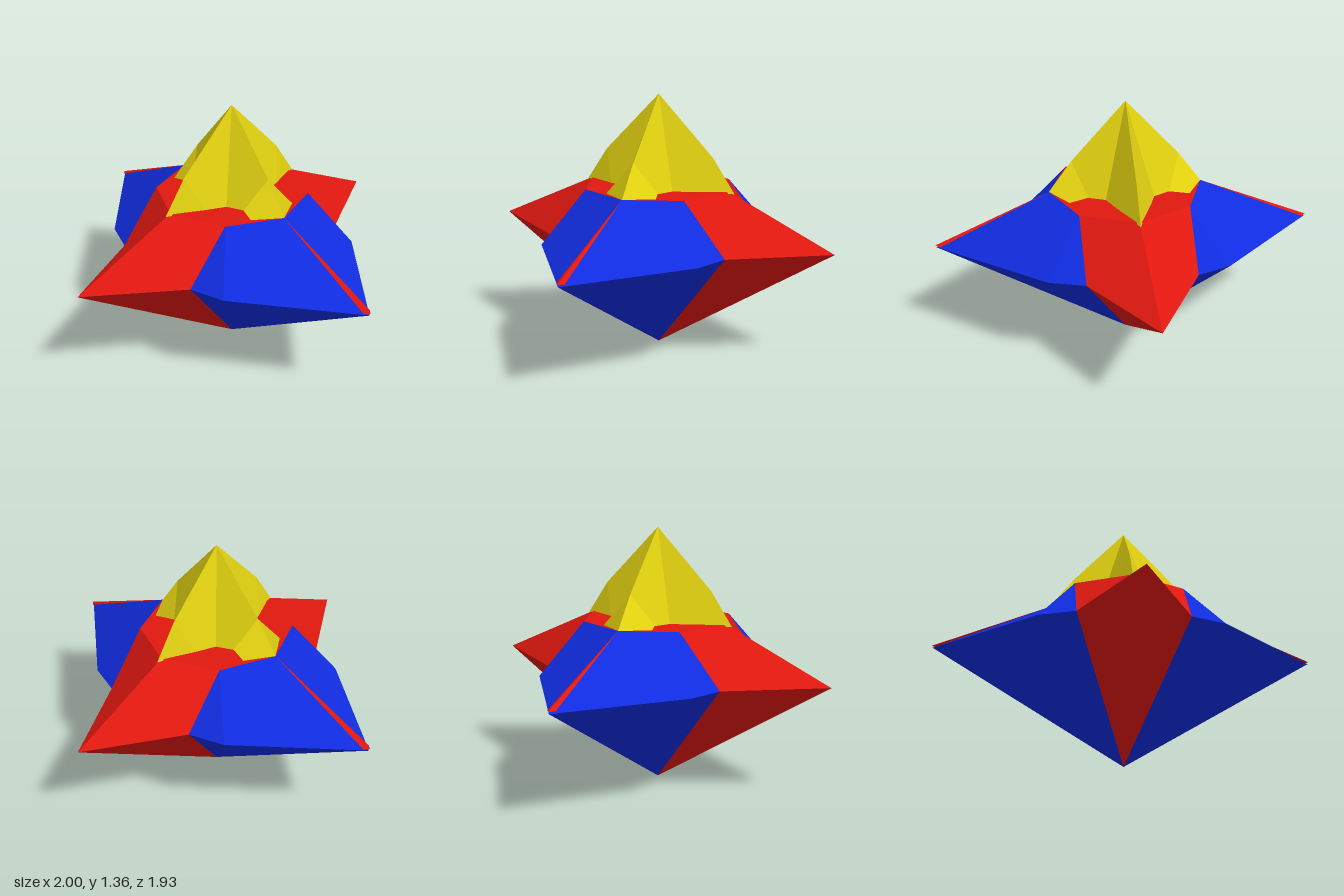
import * as THREE from 'three';

// Builds a four-way mirrored shell from polygons of one quarter (+x, +z).
// Each polygon is a fan from its first corner, with one shared normal, facing away from the centre.
function mirroredShell(name, color, polygons) {
  const centre = new THREE.Vector3(0, 0.75, 0);
  const positions = [], normals = [];
  for (const sx of [1, -1]) for (const sz of [1, -1]) {
    for (const polygon of polygons) {
      const p = polygon.map(([x, y, z]) => new THREE.Vector3(x * sx, y, z * sz));
      const normal = new THREE.Vector3(), middle = new THREE.Vector3();
      p.forEach(v => middle.addScaledVector(v, 1 / p.length));
      for (let i = 1; i < p.length - 1; i++) {
        normal.add(p[i].clone().sub(p[0]).cross(p[i + 1].clone().sub(p[0])));
      }
      if (normal.dot(middle.sub(centre)) < 0) {
        p.reverse();
        p.unshift(p.pop()); // keep the same fan corner
        normal.negate();
      }
      normal.normalize();
      for (let i = 1; i < p.length - 1; i++) {
        for (const v of [p[0], p[i], p[i + 1]]) {
          positions.push(v.x, v.y, v.z);
          normals.push(normal.x, normal.y, normal.z);
        }
      }
    }
  }
  const geometry = new THREE.BufferGeometry();
  geometry.setAttribute('position', new THREE.Float32BufferAttribute(positions, 3));
  geometry.setAttribute('normal', new THREE.Float32BufferAttribute(normals, 3));
  const material = new THREE.MeshStandardMaterial({ color, side: THREE.DoubleSide });
  const mesh = new THREE.Mesh(geometry, material);
  mesh.name = name;
  return mesh;
}

export function createModel() {
  const group = new THREE.Group();
  group.name = 'starShapedTop';
  const red = 0xe01810, blue = 0x102ce0, yellow = 0xe0d010;

  // Shared corners: bottom point, deck rim and inner corner between the arms
  const bottom = [0, 0, 0];
  const deckY = 0.88, rimY = 0.61;
  const deckFront = [0, deckY, 0.4], deckCorner = [0.28, deckY, 0.28], deckSide = [0.4, deckY, 0];
  const inner = [0.28, rimY, 0.5];

  // Front and back arms
  const frontTip = [0, 0.622, 0.965];
  group.add(mirroredShell('frontAndBackArms', red, [
    [deckFront, deckCorner, inner, frontTip].slice(0, 4),
    [bottom, inner, frontTip],
  ]));

  // Side arms, broader with a shoulder beside the front and back arms
  const sideTip = [0.995, rimY, 0], shoulder = [0.46, rimY, 0.44];
  group.add(mirroredShell('sideArms', blue, [
    [deckSide, deckCorner, shoulder, sideTip],
    [deckCorner, inner, shoulder],
    [bottom, inner, shoulder],
    [bottom, shoulder, sideTip],
  ]));

  // Thin ridge strips along the side arms
  group.add(mirroredShell('sideRidges', red, [
    [deckSide, [1, 0.622, 0], [0.975, 0.62, 0.022]],
  ]));

  // Deck under the crown
  group.add(mirroredShell('deck', red, [
    [[0, deckY, 0], deckFront, deckCorner, deckSide],
  ]));

  // Faceted crown with four legs
  const peak = [0, 1.355, 0], notch = [0.125, deckY, 0.14];
  const sideKnee = [0.28, 1.045, 0], sideWaist = [0.21, deckY, 0.1];
  const frontKnee = [0, 1.045, 0.31], frontWaist = [0.085, deckY, 0.24];
  group.add(mirroredShell('crown', yellow, [
    [peak, sideKnee, sideWaist, notch],
    [sideKnee, [0.4, deckY, 0], [0.31, deckY, 0.14], sideWaist],
    [peak, frontKnee, frontWaist, notch],
    [frontKnee, [0, 0.87, 0.43], frontWaist],
  ]));

  return group;
}
